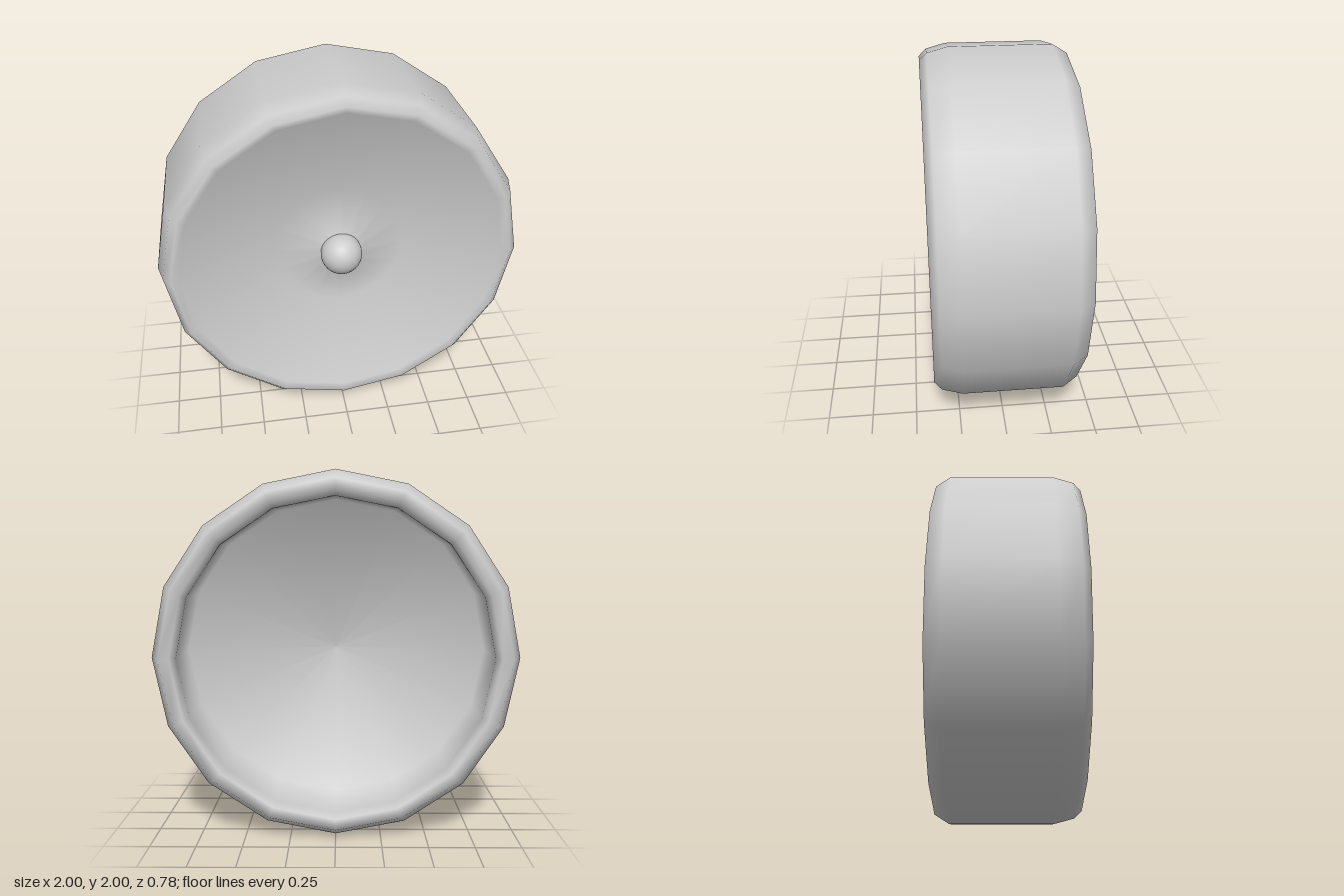
import * as THREE from 'three';

const SIDES = 16;

// Turn a list of [radius, z] points around the z axis
function turned(name, profile, sides, material) {
  const points = profile.map(([r, z]) => new THREE.Vector2(r, z));
  const geometry = new THREE.LatheGeometry(points, sides);
  geometry.rotateX(Math.PI / 2);
  const mesh = new THREE.Mesh(geometry, material);
  mesh.name = name;
  return mesh;
}

export function createModel() {
  const group = new THREE.Group();
  group.name = 'dishedWheel';
  const grey = new THREE.MeshStandardMaterial({ color: 0xcccccc });

  const wheel = new THREE.Group();
  wheel.name = 'wheel';
  wheel.position.y = 1;
  group.add(wheel);

  // One closed skin: back hollow, outer wall, front dish, central cone
  wheel.add(turned('wheelBody', [
    // hollow back: shallow floor and upright inner wall
    [0, 0.12], [0.86, 0], [0.86, -0.35],
    // back rim and outer wall
    [0.89, -0.39], [0.95, -0.39], [1, -0.31], [1, 0.24],
    // rounded front rim
    [0.97, 0.35], [0.93, 0.39], [0.89, 0.37],
    // shallow front dish
    [0.37, 0.18],
    // low cone and neck under the knob
    [0.1, 0.235], [0.1, 0.27],
  ], SIDES, grey));

  // Round knob on the neck
  const knob = new THREE.Mesh(new THREE.SphereGeometry(0.115, 32, 20), grey);
  knob.name = 'hubKnob';
  knob.position.z = 0.26;
  wheel.add(knob);

  return group;
}
